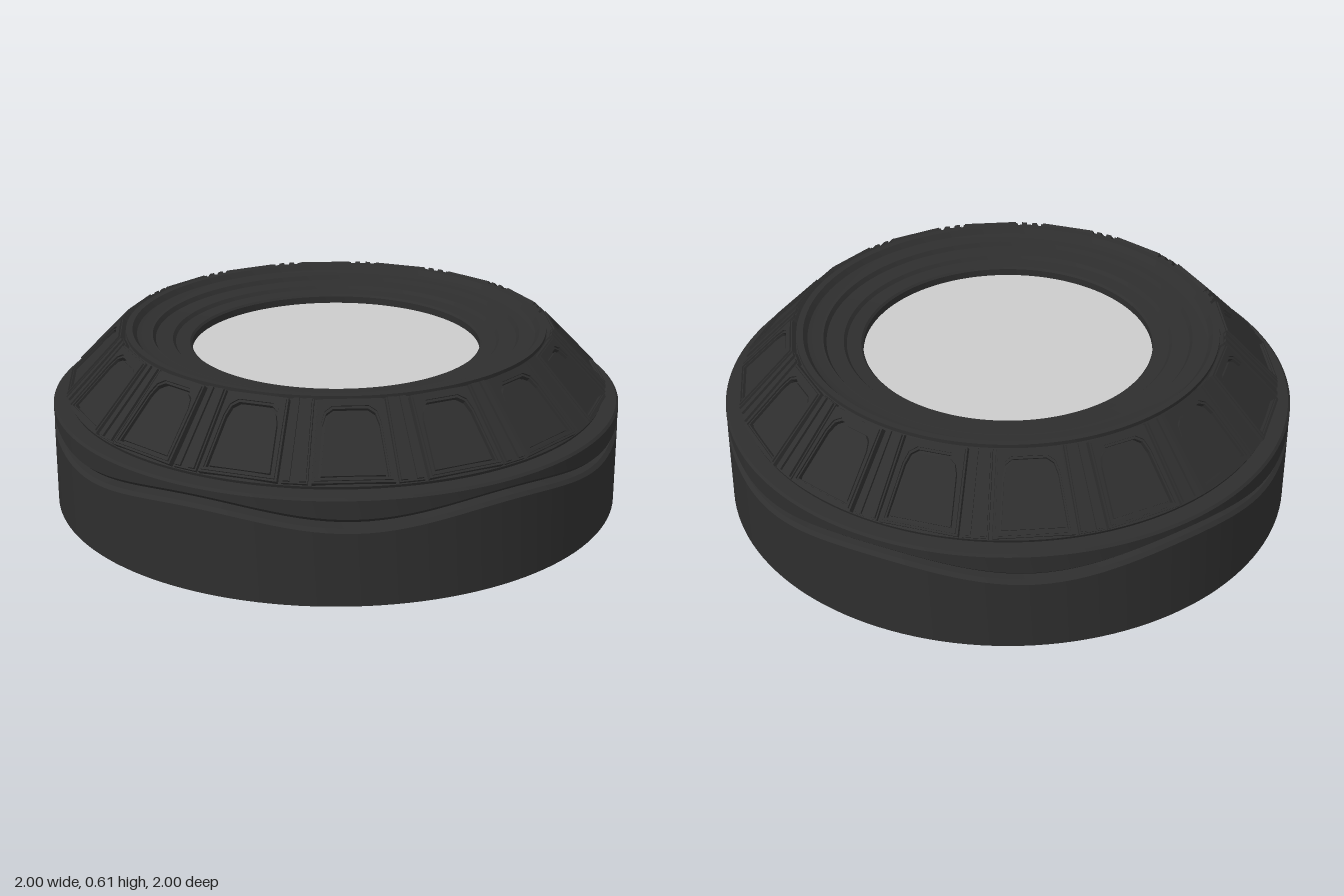
import * as THREE from 'three';
import { toCreasedNormals } from 'three/addons/utils/BufferGeometryUtils.js';

const dark = new THREE.MeshStandardMaterial({ color: 0x2e2e2e });
const grey = new THREE.MeshStandardMaterial({ color: 0xcccccc });
const SEGMENTS = 144;

// Revolved part; vertices inside the [yMin, yMax] band follow a six-crest wave
function revolve(name, profile, yMin = 1, yMax = 1) {
  const geometry = new THREE.LatheGeometry(profile.map(p => new THREE.Vector2(...p)), SEGMENTS);
  const pos = geometry.attributes.position;
  for (let i = 0; i < pos.count; i++) {
    const y = pos.getY(i);
    if (y < yMin || y > yMax) continue;
    const angle = Math.atan2(pos.getX(i), pos.getZ(i));
    pos.setY(i, y - 0.021 * Math.cos(6 * angle));
  }
  const mesh = new THREE.Mesh(toCreasedNormals(geometry, 0.5), dark);
  mesh.name = name;
  return mesh;
}

// Symmetric outline from right-hand points listed bottom to top
function outline(points, Type = THREE.Shape) {
  const right = points.map(p => new THREE.Vector2(...p));
  const left = points.map(([x, y]) => new THREE.Vector2(-x, y)).reverse();
  return new Type([...right, ...left]);
}

// Plate lying on the cone: local y climbs the slope, local z faces outwards
function plate(name, shape, top, depth) {
  const geometry = new THREE.ExtrudeGeometry(shape, { depth, bevelEnabled: false });
  geometry.translate(0, 0, top - depth);
  const mesh = new THREE.Mesh(geometry, dark);
  mesh.name = name;
  return mesh;
}

export function createModel() {
  const model = new THREE.Group();
  model.name = 'ringHousing';

  // Lower skirt with wavy top edge
  model.add(revolve('lowerSkirt', [
    [0.915, 0], [1, 0], [1, 0.272], [0.988, 0.284], [0.915, 0.284],
  ], 0.2, 0.3));

  // Recessed wall behind the wavy groove
  model.add(revolve('grooveWall', [[0.922, 0.24], [0.922, 0.37]]));

  // Upper collar with matching wavy lower edge
  model.add(revolve('upperCollar', [
    [0.915, 0.306], [0.985, 0.306], [1, 0.32], [1, 0.362], [0.992, 0.37], [0.9, 0.37],
  ], 0.3, 0.33));

  // Cone, stepped rim, window seat and hollow inside in one profile
  model.add(revolve('coneShell', [
    [0.915, 0.368], [0.94, 0.376], [0.944, 0.386], [0.738, 0.597], [0.738, 0.61],
    [0.715, 0.61], [0.7, 0.592], [0.682, 0.587], [0.645, 0.587], [0.635, 0.572],
    [0.575, 0.568], [0.565, 0.556], [0.515, 0.552], [0.508, 0.545], [0.508, 0.516],
    [0.55, 0.516], [0.555, 0.475], [0.562, 0.47], [0.59, 0.47], [0.6, 0.52],
    [0.69, 0.53], [0.912, 0.34], [0.915, 0],
  ]));

  // Round window
  const windowDisc = new THREE.Mesh(new THREE.CylinderGeometry(0.549, 0.549, 0.022, SEGMENTS), grey);
  windowDisc.name = 'windowDisc';
  windowDisc.position.y = 0.509;
  model.add(windowDisc);

  // Arched frame, inset panel and outer lip for each cone segment
  const frame = outline([[0.132, 0.005], [0.103, 0.288]]);
  frame.holes.push(outline(
    [[0.11, 0.022], [0.09, 0.2], [0.078, 0.237], [0.055, 0.254]], THREE.Path));
  const panel = outline([[0.102, 0.03], [0.083, 0.198], [0.072, 0.229], [0.052, 0.245]]);
  const lip = outline([[0.124, 0.012], [0.098, 0.282]]);
  lip.holes.push(outline(
    [[0.116, 0.018], [0.095, 0.204], [0.083, 0.243], [0.058, 0.262]], THREE.Path));

  // Rib between two segments: broad bar with a raised strip on each side
  const rib = outline([[0.042, 0], [0.034, 0.288]]);
  const strip = outline([[0.011, 0.005], [0.009, 0.286]]);

  const COUNT = 16;
  for (let i = 0; i < COUNT * 2; i++) {
    const sector = new THREE.Group();
    sector.rotation.y = i * Math.PI / COUNT;
    const slope = new THREE.Group();
    slope.position.set(0, 0.4, 0.953);
    slope.rotation.x = -0.76;
    if (i % 2 === 0) {
      sector.name = 'coneSegment';
      slope.add(
        plate('segmentFrame', frame, -0.003, 0.024),
        plate('segmentLip', lip, 0.003, 0.012),
        plate('segmentPanel', panel, -0.008, 0.02),
      );
    } else {
      sector.name = 'coneRib';
      slope.add(plate('ribBar', rib, -0.005, 0.022));
      for (const side of [-1, 1]) {
        const bar = plate('ribStrip', strip, 0.004, 0.02);
        bar.position.x = side * 0.026;
        bar.rotation.z = side * 0.022;
        slope.add(bar);
      }
    }
    sector.add(slope);
    model.add(sector);
  }
  return model;
}
